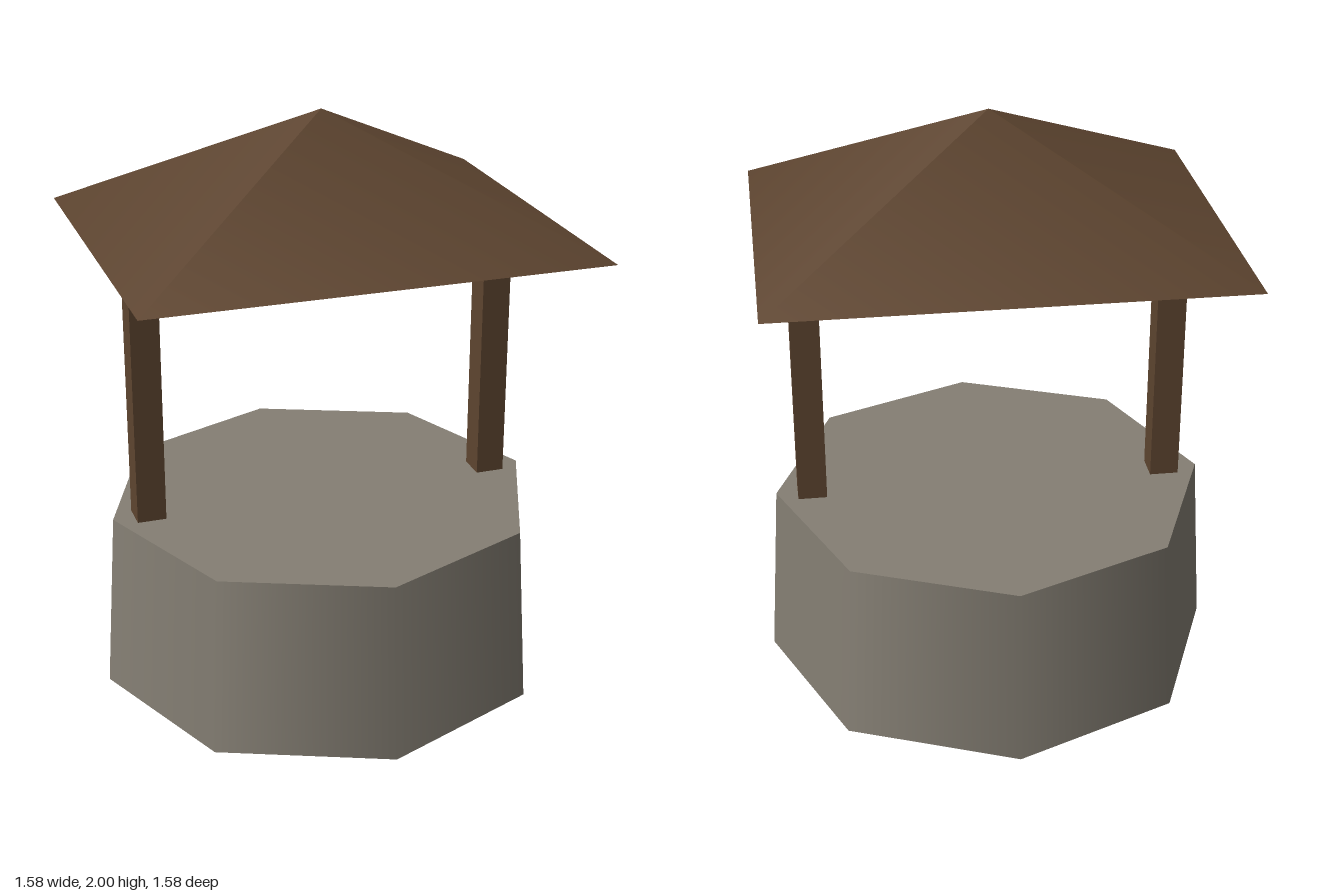
import * as THREE from 'three';

export function createModel() {
  const stone = new THREE.MeshStandardMaterial({ name: 'stone', color: 0x857f74 });
  const wood = new THREE.MeshStandardMaterial({ name: 'wood', color: 0x5e4530 });
  const model = new THREE.Group();
  model.name = 'well';

  const add = (name, geometry, material, x, y, z) => {
    const mesh = new THREE.Mesh(geometry, material);
    mesh.name = name;
    mesh.position.set(x, y, z);
    model.add(mesh);
  };

  // Tapered eight-sided stone base with smooth sides
  const baseHeight = 0.625;
  add('stoneBase', new THREE.CylinderGeometry(0.75, 0.79, baseHeight, 8), stone, 0, baseHeight / 2, 0);

  // Two posts standing on the rim
  const beamBottom = 1.5;
  const postHeight = beamBottom - baseHeight;
  for (const [name, side] of [['leftPost', 1], ['rightPost', -1]]) {
    add(name, new THREE.BoxGeometry(0.1, postHeight, 0.1), wood, side * 0.625, baseHeight + postHeight / 2, 0);
  }

  // Cross beam under the roof
  const eaves = 1.587;
  add('crossBeam', new THREE.BoxGeometry(1.374, eaves - beamBottom, 0.1), wood, 0, (eaves + beamBottom) / 2, 0);

  // Four-sided roof, wider than deep
  const roofHeight = 2 - eaves;
  const roof = new THREE.ConeGeometry(Math.SQRT2, roofHeight, 4);
  roof.rotateY(Math.PI / 4).scale(0.777, 1, 0.636);
  add('roof', roof, wood, 0, eaves + roofHeight / 2, 0);

  return model;
}
